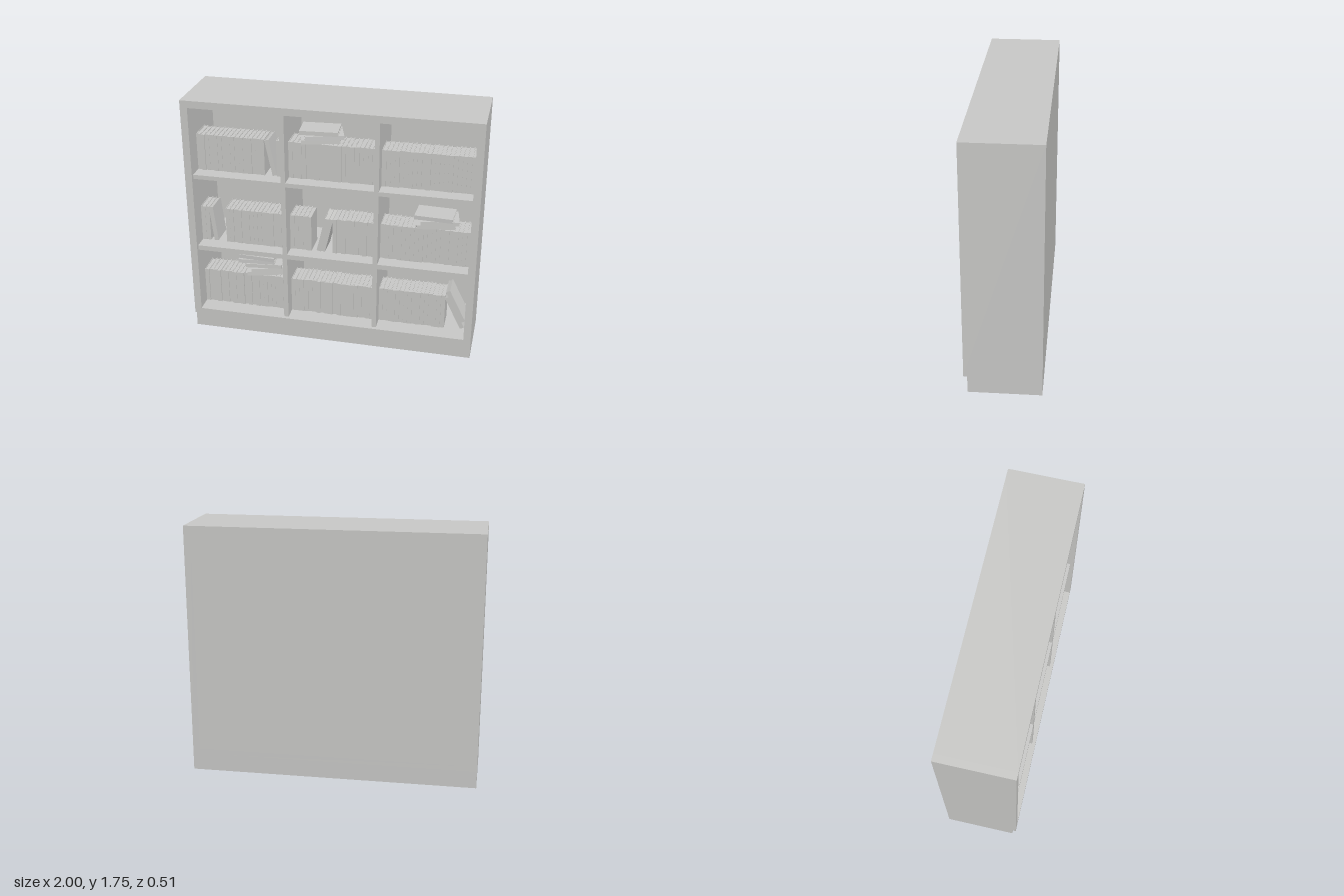
import * as THREE from 'three';
import { mergeGeometries } from 'three/addons/utils/BufferGeometryUtils.js';

const BACK = -0.255, FRONT = 0.255, INNER = 0.23;
const BOOK = { t: 0.03, h: 0.26, d: 0.17, z: 0.045 };

export function createModel() {
  const model = new THREE.Group();
  model.name = 'bookcase';
  const grey = new THREE.MeshStandardMaterial({ color: 0xcacac8 });
  grey.name = 'light grey';

  const boxGeo = (x0, x1, y0, y1, z0, z1) =>
    new THREE.BoxGeometry(x1 - x0, y1 - y0, z1 - z0)
      .translate((x0 + x1) / 2, (y0 + y1) / 2, (z0 + z1) / 2);
  const panel = (name, ...b) => {
    const m = new THREE.Mesh(boxGeo(...b), grey);
    m.name = name;
    model.add(m);
  };

  // Carcass
  panel('plinth', -1, 1, 0, 0.12, BACK, INNER);
  panel('bottomBoard', -0.95, 0.95, 0.12, 0.16, BACK, FRONT);
  panel('topBoard', -0.95, 0.95, 1.7, 1.75, BACK, FRONT);
  panel('rightSide', -1, -0.95, 0.12, 1.75, BACK, FRONT);
  panel('leftSide', 0.95, 1, 0.12, 1.75, BACK, FRONT);
  panel('backPanel', -0.95, 0.95, 0.16, 1.7, BACK, -0.225);

  // Shelves, and dividers fitted between them
  for (const [y0, y1] of [[0.63, 0.665], [1.18, 1.21]])
    panel('shelf', -0.95, 0.95, y0, y1, -0.225, INNER);
  for (const x of [-0.334, 0.301])
    for (const [y0, y1] of [[0.16, 0.63], [0.665, 1.18], [1.21, 1.7]])
      panel('divider', x, x + 0.032, y0, y1, -0.225, INNER);

  // One book: two covers, a spine at the front and a slightly inset page block
  const { t, h, d } = BOOK, c = 0.004, inset = 0.005;
  const bookGeo = mergeGeometries([
    boxGeo(-t / 2, -t / 2 + c, 0, h, -d / 2, d / 2),
    boxGeo(t / 2 - c, t / 2, 0, h, -d / 2, d / 2),
    boxGeo(-t / 2 + c, t / 2 - c, 0, h, d / 2 - c, d / 2),
    boxGeo(-t / 2 + c, t / 2 - c, inset, h - inset, -d / 2 + inset, d / 2 - c),
  ]);
  const addBook = (name, parent = model) => {
    const m = new THREE.Mesh(bookGeo, grey);
    m.name = name;
    parent.add(m);
    return m;
  };

  let seed = 7;
  const rand = () => (seed = (seed * 16807) % 2147483647) / 2147483647;

  // Upright rows: [x start, x end, y of the shelf]
  const rows = [
    [-0.95, -0.47, 1.21], [-0.386, -0.334, 1.21], [-0.302, 0.301, 1.21], [0.333, 0.95, 1.21],
    [-0.95, -0.888, 0.665], [-0.77, -0.334, 0.665], [-0.302, -0.15, 0.665],
    [0, 0.301, 0.665], [0.333, 0.95, 0.665],
    [-0.95, -0.334, 0.16], [-0.302, 0.301, 0.16], [0.333, 0.8, 0.16],
  ];
  for (const [x0, x1, y] of rows) {
    const row = new THREE.Group();
    row.name = 'bookRow';
    const n = Math.round((x1 - x0) / t), step = (x1 - x0) / n;
    for (let i = 0; i < n; i++) {
      const b = addBook('book', row);
      b.position.set(x0 + (i + 0.5) * step, y, BOOK.z + (rand() - 0.5) * 0.012);
      b.scale.x = (step - 0.0006) / t;
    }
    model.add(row);
  }

  // Leaning books: [x and y of the foot's centre, tilt to the left in degrees]
  const leaning = [
    [-0.402, 1.213, 11.4], [-0.847, 0.667, 6.5],
    [-0.1, 0.668, -13], [-0.07, 0.668, -13],
    [0.927, 0.172, 26.5], [0.932, 0.224, 26.5],
  ];
  for (const [x, y, a] of leaning) {
    const b = addBook('leaningBook');
    b.position.set(x, y, BOOK.z);
    b.rotation.z = THREE.MathUtils.degToRad(a);
  }

  // Lying stacks: base height, then [x centre, turn in degrees] from the bottom up
  const stacks = [
    [1.47, [[-0.103, 16], [-0.078, 17], [-0.101, 4]]],
    [0.925, [[0.695, 9], [0.722, 9], [0.693, -3]]],
    [0.42, [[-0.517, 16], [-0.486, 16], [-0.516, 7], [-0.566, 5], [-0.552, -3]]],
  ];
  for (const [y, books] of stacks) {
    const stack = new THREE.Group();
    stack.name = 'bookStack';
    books.forEach(([x, a], i) => {
      const holder = new THREE.Group();
      holder.name = 'lyingBook';
      holder.position.set(x, y + (i + 0.5) * 0.0293, BOOK.z);
      holder.rotation.y = THREE.MathUtils.degToRad(a);
      const b = addBook('book', holder);
      b.rotation.z = Math.PI / 2;
      b.position.x = h / 2;
      b.scale.x = 0.95;
      stack.add(holder);
    });
    model.add(stack);
  }
  return model;
}
